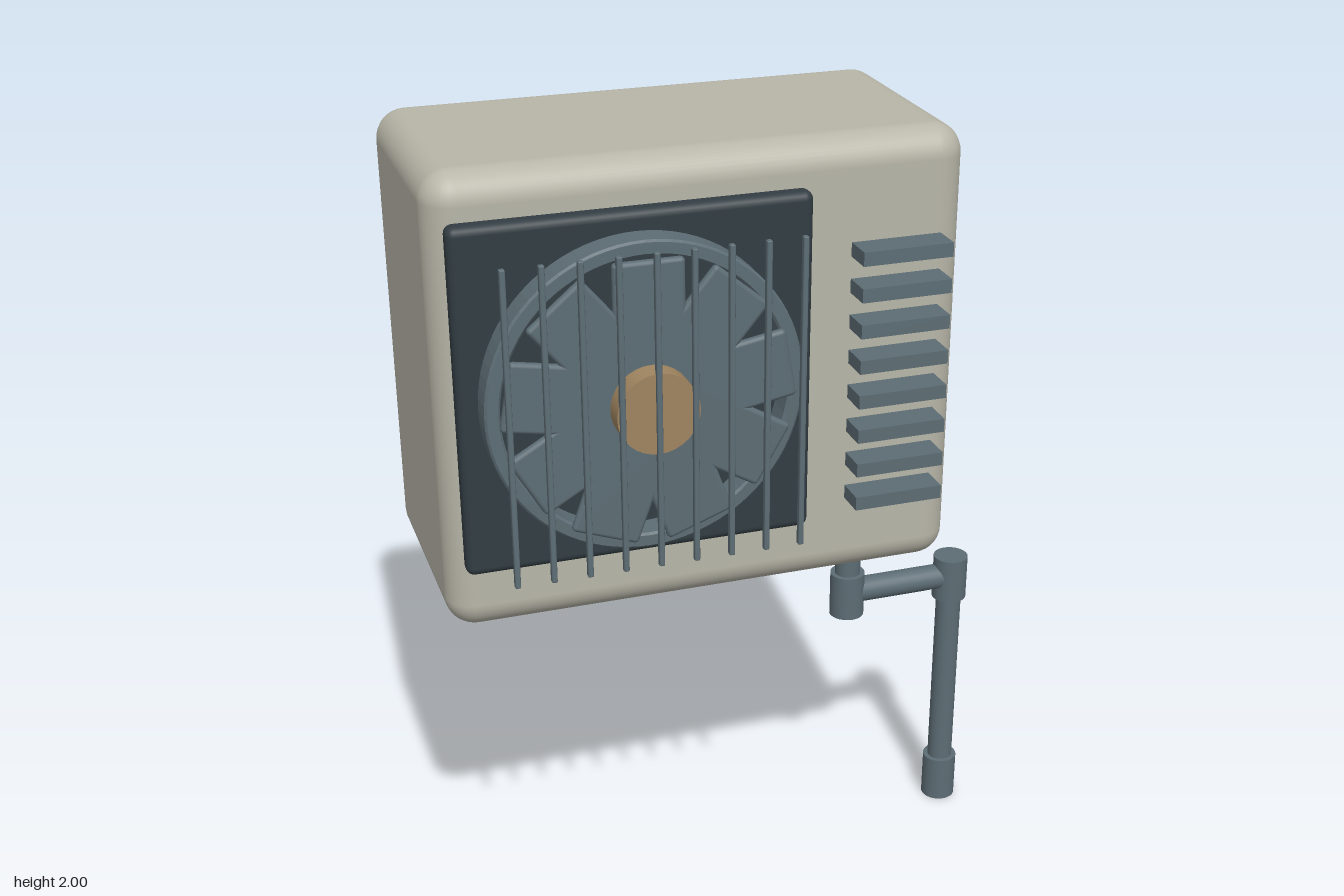
import * as THREE from 'three';
import { RoundedBoxGeometry } from 'three/addons/geometries/RoundedBoxGeometry.js';

const mat = (color) => new THREE.MeshStandardMaterial({ color });

export function createModel() {
  const model = new THREE.Group();
  const cream = mat(0xb8b6a8), slate = mat(0x5d6d75), dark = mat(0x323d43), tan = mat(0xa08560);

  const add = (name, geometry, material, x, y, z, parent = model) => {
    const mesh = new THREE.Mesh(geometry, material);
    mesh.name = name;
    mesh.position.set(x, y, z);
    parent.add(mesh);
    return mesh;
  };

  // Housing and fan backing panel
  add('housing', new RoundedBoxGeometry(1.235, 1.08, 0.615, 5, 0.07), cream, -0.102, 1.46, -0.108);
  add('fanPanel', new RoundedBoxGeometry(0.81, 0.81, 0.052, 3, 0.02), dark, -0.28, 1.5, 0.229);

  // Fan assembly, centred on its axis
  const fan = new THREE.Group();
  fan.name = 'fan';
  fan.position.set(-0.28, 1.5, 0);
  model.add(fan);

  // Shroud ring
  const ring = new THREE.Shape().absarc(0, 0, 0.355, 0, Math.PI * 2);
  ring.holes.push(new THREE.Path().absarc(0, 0, 0.33, 0, Math.PI * 2, true));
  add('shroudRing', new THREE.ExtrudeGeometry(ring, {
    depth: 0.06, curveSegments: 40, bevelThickness: 0.005, bevelSize: 0.005, bevelSegments: 1,
  }), slate, 0, 0, 0.255, fan);

  // Nine broad blades around the hub
  const bladeGeometry = new RoundedBoxGeometry(0.16, 0.28, 0.022, 2, 0.01);
  bladeGeometry.translate(0, 0.185, 0);
  for (let i = 0; i < 9; i++) {
    const blade = add('blade', bladeGeometry, slate, 0, 0, 0.34, fan);
    blade.rotation.z = (i / 9) * Math.PI * 2;
  }
  const hub = add('hub', new THREE.CylinderGeometry(0.093, 0.093, 0.09, 32), tan, 0, 0, 0.36, fan);
  hub.rotation.x = Math.PI / 2;

  // Vertical guard bars
  for (let i = -4; i <= 4; i++) {
    add('guardBar', new RoundedBoxGeometry(0.013, 0.725, 0.015, 1, 0.003), slate, i * 0.0814, 0, 0.406, fan);
  }

  // Side vent slats
  for (let i = 0; i < 8; i++) {
    add('ventSlat', new THREE.BoxGeometry(0.215, 0.033, 0.074), slate, 0.338, 1.15 + i * 0.0855, 0.248);
  }

  // Drain pipe with collars
  const pipe = new THREE.Group();
  pipe.name = 'drainPipe';
  pipe.position.z = -0.107;
  model.add(pipe);
  const tube = (name, x, y0, y1, r) =>
    add(name, new THREE.CylinderGeometry(r, r, y1 - y0, 24), slate, x, (y0 + y1) / 2, 0, pipe);
  tube('topCollar', 0.378, 0.863, 0.98, 0.044);
  tube('upperPipe', 0.378, 0.69, 0.95, 0.033);
  tube('innerElbow', 0.378, 0.627, 0.747, 0.045);
  tube('outerElbow', 0.672, 0.627, 0.747, 0.045);
  tube('lowerPipe', 0.672, 0.06, 0.69, 0.033);
  tube('endCollar', 0.672, 0, 0.125, 0.045);
  const crossPipe = add('crossPipe', new THREE.CylinderGeometry(0.033, 0.033, 0.294, 24), slate, 0.525, 0.69, 0, pipe);
  crossPipe.rotation.z = Math.PI / 2;

  return model;
}
